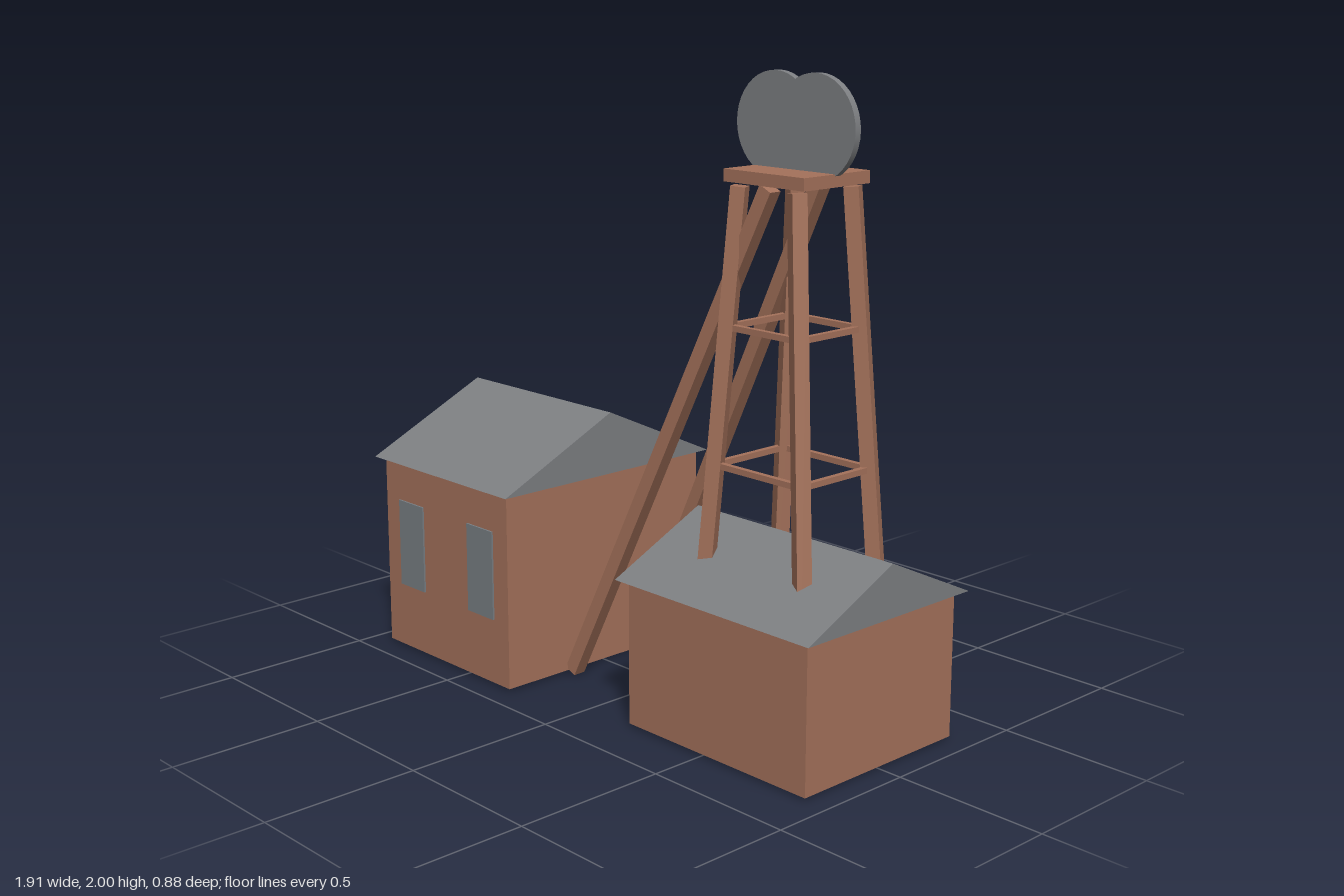
import * as THREE from 'three';

const brown = new THREE.MeshStandardMaterial({ color: 0xa5725b });
brown.name = 'rust brown';
const slate = new THREE.MeshStandardMaterial({ color: 0x7d7f82 });
slate.name = 'slate grey';
const glass = new THREE.MeshStandardMaterial({ color: 0x797f84 });
glass.name = 'window grey';

function add(parent, name, geometry, material, x = 0, y = 0, z = 0) {
  const mesh = new THREE.Mesh(geometry, material);
  mesh.name = name;
  mesh.position.set(x, y, z);
  parent.add(mesh);
  return mesh;
}

// Square timber running between two points
function beam(parent, name, a, b, size) {
  const mesh = add(parent, name, new THREE.BoxGeometry(size, size, a.distanceTo(b)), brown);
  mesh.position.copy(a).add(b).multiplyScalar(0.5);
  mesh.lookAt(b);
}

// Box walls under a gable roof whose ridge runs along x
function house(name, x, width, depth, eaves, ridge, roofWidth, roofDepth) {
  const group = new THREE.Group();
  group.name = name;
  const base = 0.011;
  add(group, 'walls', new THREE.BoxGeometry(width, eaves - base, depth), brown, x, (eaves + base) / 2, 0);
  const gable = new THREE.Shape();
  gable.moveTo(-roofDepth / 2, 0);
  gable.lineTo(roofDepth / 2, 0);
  gable.lineTo(0, ridge - eaves);
  gable.closePath();
  const roof = new THREE.ExtrudeGeometry(gable, { depth: roofWidth, bevelEnabled: false });
  roof.translate(0, 0, -roofWidth / 2).rotateY(Math.PI / 2);
  add(group, 'roof', roof, slate, x, eaves, 0);
  return group;
}

export function createModel() {
  const model = new THREE.Group();
  model.name = 'mineHeadframe';

  // Winding house with two windows front and back
  const winding = house('windingHouse', -0.603, 0.645, 0.83, 0.657, 0.862, 0.7, 0.88);
  for (const side of [1, -1]) {
    for (const x of [-0.785, -0.417]) {
      add(winding, 'window', new THREE.BoxGeometry(0.13, 0.295, 0.008), glass, x, 0.376, side * 0.417);
    }
  }
  model.add(winding);

  // Shaft house under the tower
  model.add(house('shaftHouse', 0.555, 0.735, 0.64, 0.474, 0.638, 0.795, 0.7));

  // Four splayed tower legs
  const tower = new THREE.Group();
  tower.name = 'tower';
  model.add(tower);
  const cx = 0.555;
  const top = 1.675;
  const corner = (y, sx, sz) => new THREE.Vector3(
    cx + sx * THREE.MathUtils.lerp(0.235, 0.112, y / top), y,
    sz * THREE.MathUtils.lerp(0.18, 0.116, y / top));
  for (const sx of [-1, 1]) {
    for (const sz of [-1, 1]) beam(tower, 'leg', corner(0.012, sx, sz), corner(top, sx, sz), 0.045);
  }

  // Two rings of cross braces
  for (const y of [0.843, 1.262]) {
    for (const s of [-1, 1]) {
      beam(tower, 'sideBrace', corner(y, s, -1), corner(y, s, 1), 0.018);
      beam(tower, 'frontBrace', corner(y, -1, s), corner(y, 1, s), 0.018);
    }
  }

  // Platform and the two overlapping winding wheels
  add(tower, 'platform', new THREE.BoxGeometry(0.315, 0.037, 0.275), brown, cx, 1.704, 0);
  for (const s of [-1, 1]) {
    const disc = new THREE.CylinderGeometry(0.153, 0.153, 0.022, 40).rotateX(Math.PI / 2);
    add(tower, 'wheel', disc, slate, cx + s * 0.077, 1.847, 0);
  }

  // Long raking struts
  for (const s of [-1, 1]) {
    beam(model, 'strut', new THREE.Vector3(-0.27, 0.012, s * 0.147),
      new THREE.Vector3(0.553, 1.678, s * 0.106), 0.045);
  }
  return model;
}
